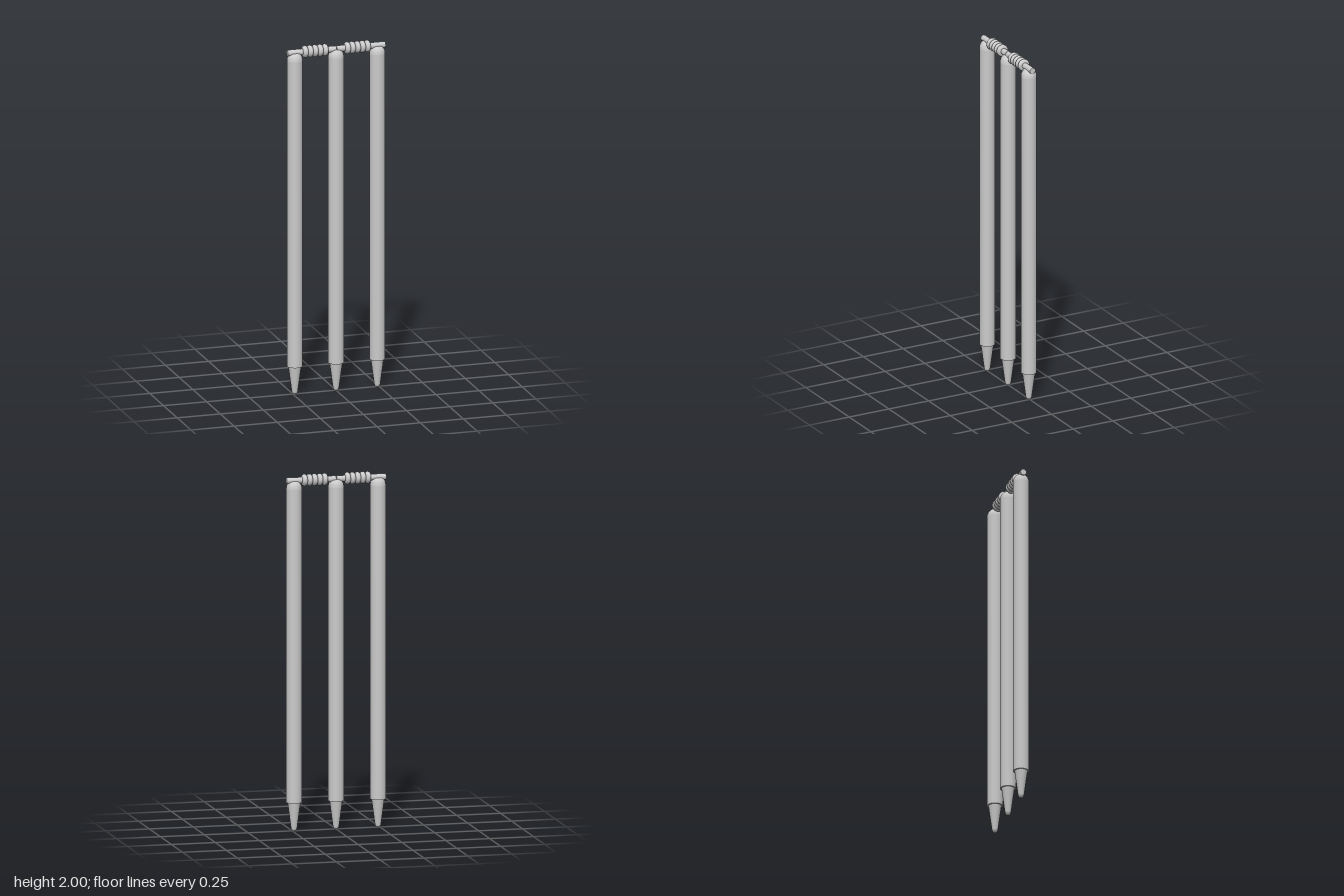
import * as THREE from 'three';

const material = new THREE.MeshStandardMaterial({ color: 0xcccccc });

function part(name, geometry) {
  const mesh = new THREE.Mesh(geometry, material);
  mesh.name = name;
  return mesh;
}

function lathe(points) {
  return new THREE.LatheGeometry(points.map(([r, y]) => new THREE.Vector2(r, y)), 32);
}

// Upright post with a domed top and a tapered ground spike
function createStump(x) {
  const stump = new THREE.Group();
  stump.name = 'stump';
  const post = part('post', new THREE.CylinderGeometry(0.044, 0.044, 1.76, 32, 1, true));
  post.position.y = 1.04;
  const shoulder = part('shoulder', new THREE.RingGeometry(0.03, 0.044, 32));
  shoulder.rotation.x = Math.PI / 2;
  shoulder.position.y = 0.16;
  const dome = part('dome', lathe([
    [0.044, 1.92], [0.0425, 1.934], [0.038, 1.946], [0.031, 1.956], [0.022, 1.963], [0, 1.964],
  ]));
  const spike = part('spike', lathe([
    [0, 0], [0.009, 0.001], [0.014, 0.006], [0.017, 0.016], [0.036, 0.16],
  ]));
  stump.add(post, shoulder, dome, spike);
  stump.position.x = x;
  return stump;
}

// Crosspiece: a thin rod carrying five rounded rings
function createBail(side) {
  const bail = new THREE.Group();
  bail.name = side > 0 ? 'leftBail' : 'rightBail';
  const rod = part('rod', new THREE.CylinderGeometry(0.0175, 0.0175, 0.281, 24));
  rod.rotation.z = Math.PI / 2;
  rod.position.x = side * 0.1425;
  bail.add(rod);
  for (let i = 0; i < 5; i++) {
    const ring = part('ring', new THREE.TorusGeometry(0.0195, 0.0147, 16, 32));
    ring.rotation.y = Math.PI / 2;
    ring.position.x = side * (0.0645 + i * 0.029);
    bail.add(ring);
  }
  bail.position.y = 1.9655;
  return bail;
}

export function createModel() {
  const model = new THREE.Group();
  model.name = 'wicket';
  for (const x of [-0.239, 0, 0.239]) model.add(createStump(x));
  for (const side of [-1, 1]) model.add(createBail(side));
  return model;
}
